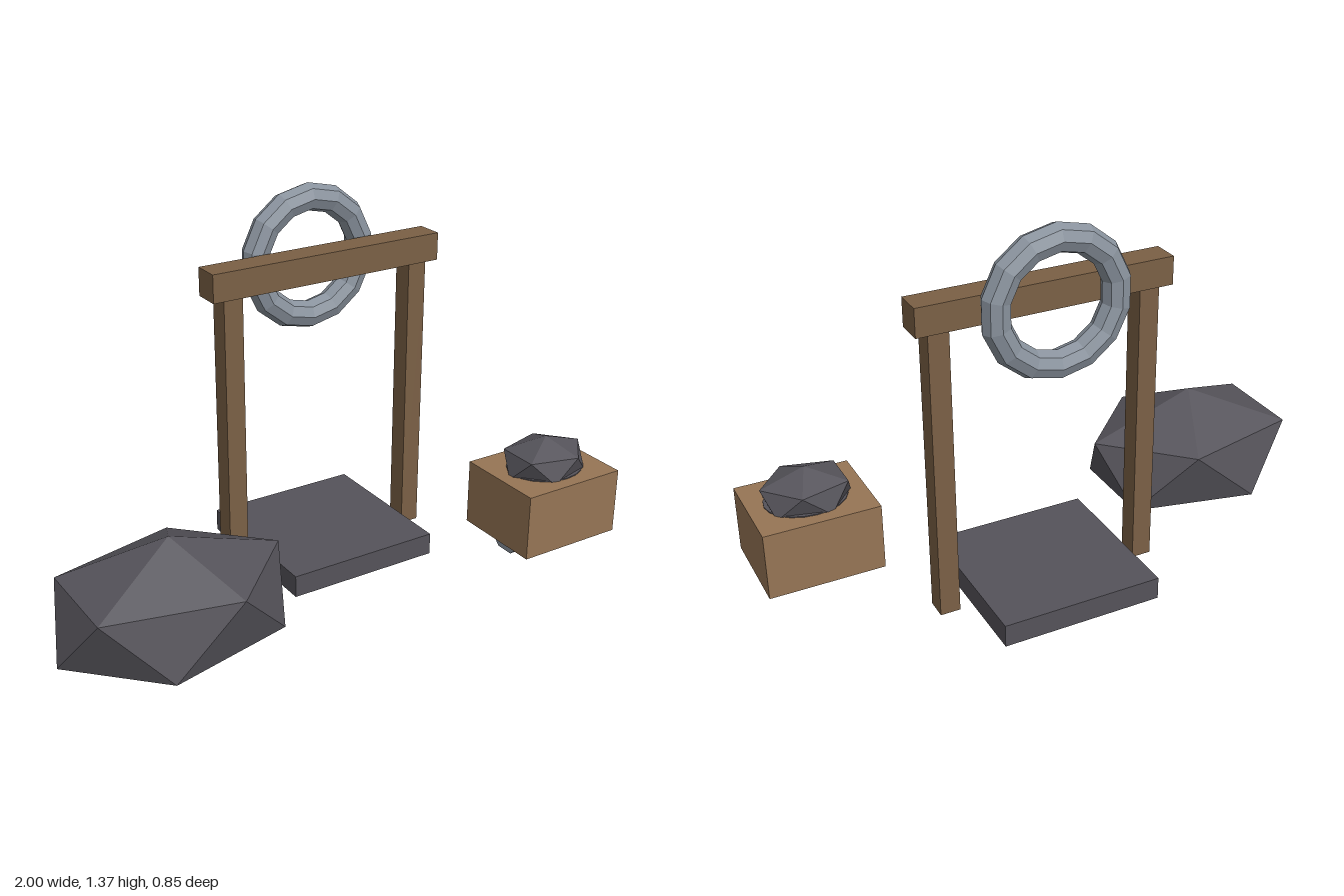
import * as THREE from 'three';
import { ConvexGeometry } from 'three/addons/geometries/ConvexGeometry.js';

const material = (color) => new THREE.MeshStandardMaterial({ color, flatShading: true });

export function createModel() {
  const model = new THREE.Group();
  const stone = material(0x55535a);
  const timber = material(0x7a6045);
  const crateWood = material(0x967555);
  const metal = material(0x8a939e);

  function add(name, geometry, mat, x, y, z) {
    const mesh = new THREE.Mesh(geometry, mat);
    mesh.name = name;
    mesh.position.set(x, y, z);
    model.add(mesh);
    return mesh;
  }
  const box = (name, mat, w, h, d, x, y, z) =>
    add(name, new THREE.BoxGeometry(w, h, d), mat, x, y, z);

  // Stretched icosahedron standing on a vertex: two poles and two staggered rings of five
  function rock(name, ringX, ringZ, halfHeight, x, y, z) {
    const points = [new THREE.Vector3(0, halfHeight, 0), new THREE.Vector3(0, -halfHeight, 0)];
    for (let i = 0; i < 10; i++) {
      const a = (i * Math.PI) / 5;
      const side = i % 2 ? -1 : 1;
      points.push(new THREE.Vector3(
        Math.cos(a) * ringX, (side * halfHeight) / Math.sqrt(5), Math.sin(a) * ringZ));
    }
    return add(name, new ConvexGeometry(points), stone, x, y, z);
  }

  // Boulder beside the gate
  rock('boulder', 0.385, 0.279, 0.234, -0.615, 0.238, 0.158);

  // Gate: two posts, a crossbeam and the stone slab between them
  for (const side of [-1, 1]) {
    box(side < 0 ? 'rightPost' : 'leftPost', timber,
      0.068, 0.995, 0.072, 0.132 + side * 0.355, 0.58, -0.152);
  }
  box('crossbeam', timber, 0.862, 0.095, 0.095, 0.132, 1.122, -0.153);
  box('slab', stone, 0.55, 0.077, 0.55, 0.132, 0.122, -0.155);

  // Metal ring hung behind the crossbeam
  const ringGeometry = new THREE.TorusGeometry(0.203, 0.047, 8, 14);
  ringGeometry.rotateZ(Math.PI / 2);
  add('ring', ringGeometry, metal, 0.132, 1.121, -0.247);

  // Cart: crate, ore and wheels mostly tucked under the body
  box('crate', crateWood, 0.395, 0.235, 0.33, 0.802, 0.255, 0.24);
  const bed = add('oreBed', new THREE.CylinderGeometry(0.12, 0.12, 0.02, 20), stone, 0.805, 0.366, 0.24);
  bed.scale.x = 1.17;
  rock('ore', 0.152, 0.126, 0.09, 0.802, 0.4, 0.24);
  for (const side of [-1, 1]) {
    const wheel = new THREE.CylinderGeometry(0.085, 0.085, 0.042, 8);
    wheel.rotateY(Math.PI / 8);
    wheel.rotateZ(Math.PI / 2);
    add(side < 0 ? 'rightWheel' : 'leftWheel', wheel, metal, 0.802 + side * 0.134, 0.162, 0.24);
  }

  return model;
}
